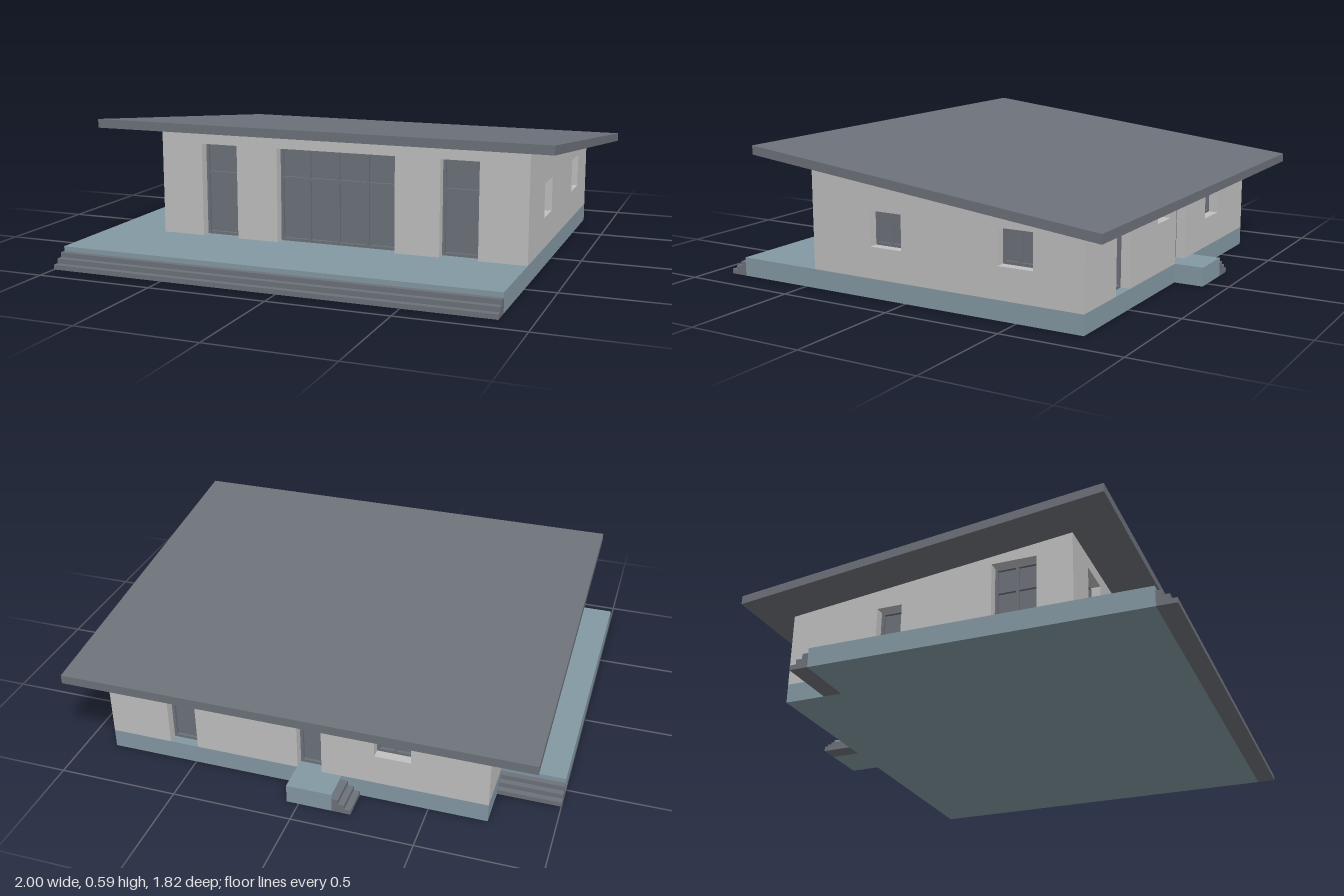
import * as THREE from 'three';

const mat = (name, color) => {
  const m = new THREE.MeshStandardMaterial({ color });
  m.name = name;
  return m;
};

export function createModel() {
  const grey = mat('slate grey', 0x6d727a);
  const white = mat('wall plaster', 0xc0c0c0);
  const blue = mat('blue grey stone', 0x8499a4);

  const model = new THREE.Group();
  model.name = 'house';
  const FLOOR = 0.08, WALL = 0.06, RECESS = 0.04;
  const L = -0.74, R = 0.87, F = 0.45, B = -0.78;

  const add = (parent, geo, material, name) => {
    const mesh = new THREE.Mesh(geo, material);
    mesh.name = name;
    parent.add(mesh);
    return mesh;
  };
  // box given by its min and max corners
  const box = (parent, x0, x1, y0, y1, z0, z1, material, name) => {
    const mesh = add(parent, new THREE.BoxGeometry(x1 - x0, y1 - y0, z1 - z0), material, name);
    mesh.position.set((x0 + x1) / 2, (y0 + y1) / 2, (z0 + z1) / 2);
    return mesh;
  };
  const polygon = (pts) => new THREE.Shape(pts.map(([x, y]) => new THREE.Vector2(x, y)));
  const extrude = (shape, depth) => new THREE.ExtrudeGeometry(shape, { depth, bevelEnabled: false });

  // Plinth, terrace and back landing in one slab, drawn as (x, -z)
  const plan = polygon([
    [-1, -0.83], [R, -0.83], [R, 0.78], [0.05, 0.78], [0.05, 0.905],
    [-0.14, 0.905], [-0.14, 0.78], [L, 0.78], [L, 0.53], [-1, 0.53],
  ]);
  add(model, extrude(plan, FLOOR).rotateX(-Math.PI / 2), blue, 'terrace');

  // Three treads for each flight
  const tread = 0.0257;
  for (let i = 0; i < 3; i++) {
    const h = 0.02 * (3 - i), a = i * tread, b = a + tread;
    box(model, -1, R, 0, h, 0.83 + a, 0.83 + b, grey, 'frontStep');
    box(model, -1, L, 0, h, -0.53 - b, -0.53 - a, grey, 'terraceBackStep');
    box(model, -0.14 - b, -0.14 - a, 0, h, -0.905, B, grey, 'landingStep');
  }

  // Roof: sloping slab with upright edges
  const roofShape = polygon([[-0.64, 0.555], [0.91, 0.378], [0.91, 0.415], [-0.64, 0.592]]);
  const roof = add(model, extrude(roofShape, 1.935).rotateY(Math.PI / 2), grey, 'roof');
  roof.position.x = -0.935;
  const under = (z) => 0.555 - (0.64 - z) * 0.1142;

  // Window or door set back in its opening: pane, outer frame and bars
  const glazing = (parent, o) => {
    const { u0, u1, y0, y1, mullions = [], transom } = o;
    const w = 0.012, back = -RECESS - 0.012, front = -RECESS;
    const bar = (a, b, c, d, n) => box(parent, a, b, c, d, back, front, grey, n);
    box(parent, u0, u1, y0, y1, back - 0.004, back, grey, 'pane');
    bar(u0, u0 + w, y0, y1, 'frameSide');
    bar(u1 - w, u1, y0, y1, 'frameSide');
    bar(u0 + w, u1 - w, y1 - w, y1, 'frameTop');
    bar(u0 + w, u1 - w, y0, y0 + w, 'frameBottom');
    mullions.forEach((m) => bar(m - w / 2, m + w / 2, y0 + w, y1 - w, 'mullion'));
    if (transom) bar(u0 + w, u1 - w, transom - w / 2, transom + w / 2, 'transom');
  };

  // Wall facing local +z; doors notch the bottom edge, windows are holes
  const wall = (name, u0, u1, h0, h1, openings, x, z, turn) => {
    const g = new THREE.Group();
    g.name = name;
    const pts = [[u0, FLOOR]];
    openings.filter((o) => o.y0 <= FLOOR).sort((a, b) => a.u0 - b.u0).forEach((o) =>
      pts.push([o.u0, FLOOR], [o.u0, o.y1], [o.u1, o.y1], [o.u1, FLOOR]));
    pts.push([u1, FLOOR], [u1, h1], [u0, h0]);
    const shape = polygon(pts);
    openings.filter((o) => o.y0 > FLOOR).forEach((o) => shape.holes.push(
      polygon([[o.u0, o.y0], [o.u0, o.y1], [o.u1, o.y1], [o.u1, o.y0]])));
    add(g, extrude(shape, WALL), white, name + 'Panel').position.z = -WALL;
    openings.forEach((o) => glazing(g, o));
    g.position.set(x, 0, z);
    g.rotation.y = turn;
    model.add(g);
  };
  const door = (u0, u1, y1, extra = {}) => ({ u0, u1, y0: FLOOR, y1, ...extra });
  const win = (u0, u1, y0, extra = {}) => ({ u0, u1, y0, y1: 0.355, mullions: [(u0 + u1) / 2], ...extra });

  const hf = under(F), hb = under(B);
  wall('frontWall', L + WALL, R - WALL, hf, hf, [
    door(-0.55, -0.385, 0.48, { transom: 0.35 }),
    door(-0.2, 0.32, 0.48, { transom: 0.35, mullions: [-0.07, 0.06, 0.19] }),
    door(0.51, 0.67, 0.48, { transom: 0.35 }),
  ], 0, F, 0);
  wall('backWall', -R + WALL, -L - WALL, hb, hb, [
    door(-0.61, -0.487, 0.355),
    win(-0.235, -0.105, 0.285),
    door(-0.047, 0.055, 0.355),
    win(0.275, 0.425, 0.21),
  ], 0, B, Math.PI);
  wall('leftWall', -F, -B, hf, hb, [
    win(-0.165, -0.015, 0.21),
    win(0.42, 0.57, 0.21),
  ], R, 0, Math.PI / 2);
  wall('rightWall', B, F, hb, hf, [
    door(-0.39, -0.28, 0.355),
    door(0.11, 0.3, 0.46, { transom: 0.35, mullions: [0.205] }),
  ], L, 0, -Math.PI / 2);

  return model;
}
